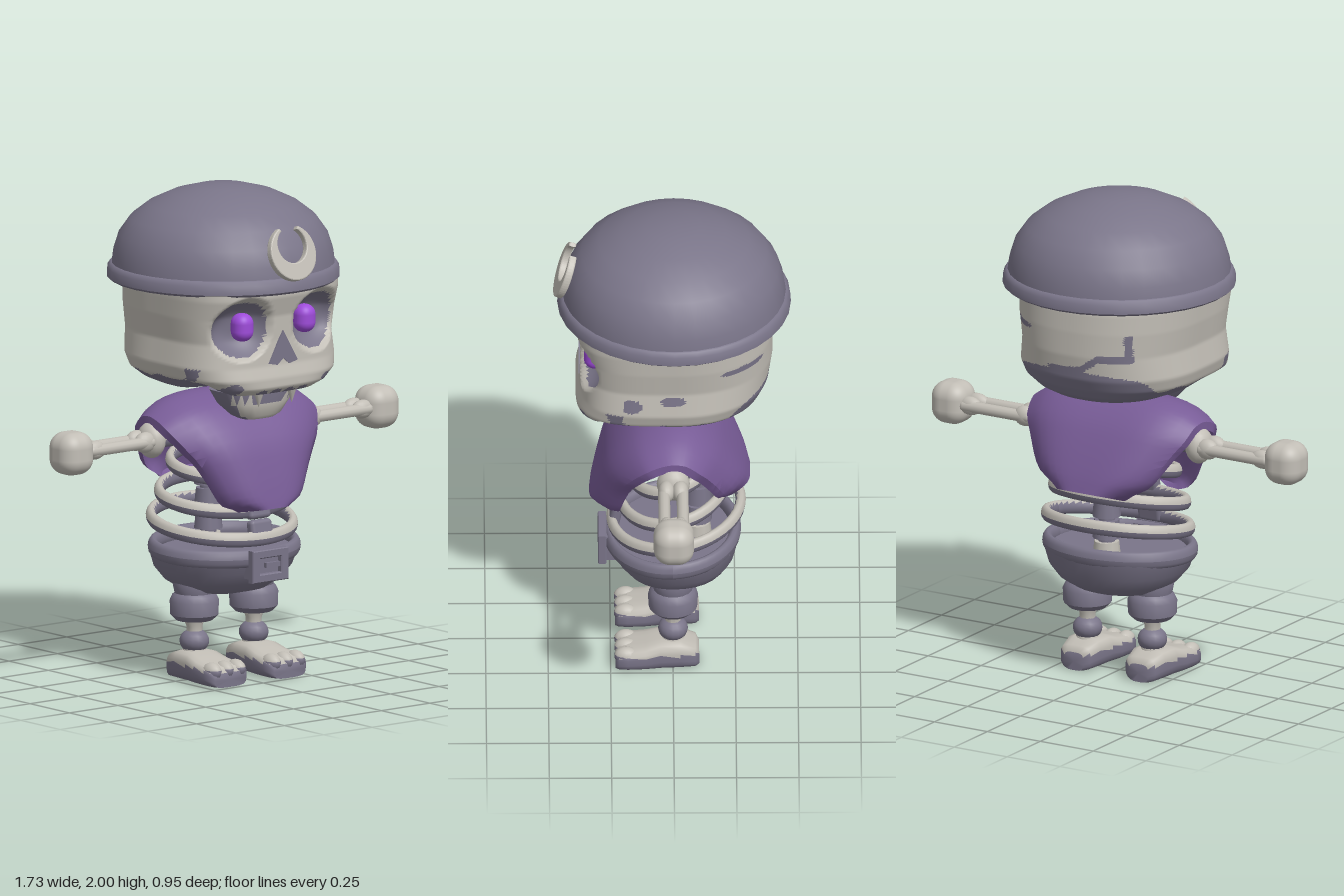
import * as THREE from 'three';
import { toCreasedNormals } from 'three/addons/utils/BufferGeometryUtils.js';
import { RoundedBoxGeometry } from 'three/addons/geometries/RoundedBoxGeometry.js';

const mat = (name, color) => Object.assign(new THREE.MeshStandardMaterial({ color }), { name });
const V2 = (x, y) => new THREE.Vector2(x, y);
const V3 = (x, y, z) => new THREE.Vector3(x, y, z);

// Closed skin over a row of equal-length rings, capped at both ends
function loft(rings, crease = 0.8) {
  const n = rings[0].length, m = rings.length, pos = [], idx = [];
  rings.forEach(r => r.forEach(p => pos.push(p.x, p.y, p.z)));
  for (const r of [rings[0], rings[m - 1]]) {
    const c = r.reduce((s, p) => s.add(p), V3(0, 0, 0)).divideScalar(n);
    pos.push(c.x, c.y, c.z);
  }
  for (let j = 0; j < n; j++) {
    const k = (j + 1) % n;
    for (let i = 0; i < m - 1; i++) {
      const a = i * n + j, b = i * n + k;
      idx.push(a, b, b + n, a, b + n, a + n);
    }
    idx.push(m * n, k, j, m * n + 1, (m - 1) * n + j, (m - 1) * n + k);
  }
  const g = new THREE.BufferGeometry();
  g.setAttribute('position', new THREE.Float32BufferAttribute(pos, 3));
  g.setIndex(idx);
  g.computeVertexNormals();
  return crease ? toCreasedNormals(g, crease) : g;
}

// Sorts triangles into two material groups: rule(centre, normal) true = second material
function paint(geo, rule) {
  const p = geo.attributes.position, nn = geo.attributes.normal, sets = [[], []];
  const count = geo.index ? geo.index.count : p.count;
  const c = V3(), n = V3(), t = V3();
  for (let i = 0; i < count; i += 3) {
    const tri = [0, 1, 2].map(k => geo.index ? geo.index.getX(i + k) : i + k);
    c.set(0, 0, 0); n.set(0, 0, 0);
    tri.forEach(k => { c.add(t.fromBufferAttribute(p, k)); n.add(t.fromBufferAttribute(nn, k)); });
    sets[rule(c.divideScalar(3), n.normalize()) ? 1 : 0].push(...tri);
  }
  geo.setIndex(sets[0].concat(sets[1]));
  geo.clearGroups();
  geo.addGroup(0, sets[0].length, 0);
  geo.addGroup(sets[0].length, sets[1].length, 1);
  return geo;
}

// Linear lookup in rows [key, a, b, c]
function lookup(rows, y) {
  let i = 0;
  while (i < rows.length - 2 && y > rows[i + 1][0]) i++;
  const a = rows[i], b = rows[i + 1], t = THREE.MathUtils.clamp((y - a[0]) / (b[0] - a[0]), 0, 1);
  return a.map((v, k) => v + (b[k] - v) * t);
}

// Horizontal ring: half width, front z, back z, squareness
function ring(y, hw, zf, zb, count, nf = 2, nb = 2) {
  return Array.from({ length: count }, (_, j) => {
    const a = j / count * Math.PI * 2, s = Math.sin(a), c = Math.cos(a), e = c > 0 ? nf : nb;
    const r = 1 / Math.pow(Math.abs(s) ** e + Math.abs(c) ** e, 1 / e);
    return V3(hw * s * r, y, (c > 0 ? zf : -zb) * c * r);
  });
}

// Oval band around the body, lower at the front; w and h are half thickness and half height
function hoop(y, hx, zf, zb, slope, w, h) {
  const g = new THREE.TorusGeometry(1, 0.5, 12, 48).rotateX(-Math.PI / 2), p = g.attributes.position;
  for (let i = 0; i < p.count; i++) {
    const a = Math.atan2(p.getX(i), p.getZ(i)), off = (Math.hypot(p.getX(i), p.getZ(i)) - 1) * 2 * w;
    p.setXYZ(i, (hx + off) * Math.sin(a), y - slope * Math.cos(a) + p.getY(i) * 2 * h,
      (zf + zb) / 2 + ((zf - zb) / 2 + off) * Math.cos(a));
  }
  g.computeVertexNormals();
  return g;
}

export function createModel() {
  const root = new THREE.Group();
  const slate = mat('slate', 0x7a7589), bone = mat('bone', 0xc2beb6);
  const cloth = mat('purpleCloth', 0x785c97), glow = mat('violetEye', 0x9e4cda);
  const both = [bone, slate];
  const add = (name, geo, m, x = 0, y = 0, z = 0, parent = root) => {
    const o = new THREE.Mesh(geo, m);
    o.name = name;
    o.position.set(x, y, z);
    parent.add(o);
    return o;
  };
  const lathe = (pts, seg = 24) => toCreasedNormals(new THREE.LatheGeometry(pts.map(p => V2(...p)), seg), 0.7);
  const ball = (name, m, r, s, x, y, z, parent) =>
    add(name, new THREE.SphereGeometry(r, 16, 12), m, x, y, z, parent).scale.set(...s);

  // Helmet with rolled brim
  add('helmet', lathe([[0.36, 1.625], [0.455, 1.62], [0.468, 1.63], [0.466, 1.665], [0.455, 1.682], [0.448, 1.685],
    [0.442, 1.73], [0.42, 1.8], [0.373, 1.867], [0.302, 1.922], [0.21, 1.965], [0.11, 1.992], [0, 2]], 32), slate, 0, 0, -0.005);

  // Crescent badge
  const moon = new THREE.Shape();
  moon.absarc(0, 0, 0.109, Math.PI * 0.65, Math.PI * 2.35, false);
  moon.absarc(0, 0.03, 0.077, Math.PI * 2.3, Math.PI * 0.7, true);
  const crescent = add('crescent', new THREE.ExtrudeGeometry(moon, { depth: 0.018, bevelSize: 0.005,
    bevelThickness: 0.006, bevelSegments: 2, curveSegments: 24 }), bone, 0, 1.778, 0.422);
  crescent.rotation.x = -0.32;

  // Skull, with sunken eye sockets and dark weathering
  const prof = [[1.19, 0.12, 0.2, -0.2], [1.2, 0.24, 0.36, -0.28], [1.23, 0.31, 0.39, -0.33], [1.27, 0.365, 0.39, -0.36],
    [1.32, 0.38, 0.375, -0.385], [1.42, 0.365, 0.37, -0.4], [1.52, 0.38, 0.375, -0.4], [1.6, 0.385, 0.4, -0.395], [1.66, 0.385, 0.4, -0.38]];
  const socket = p => Math.hypot((Math.abs(p.x) - 0.185) / 0.132, (p.y - 1.48) / 0.132);
  const smooth = THREE.MathUtils.smoothstep;
  const rows = [];
  for (let i = 0; i <= 60; i++) {
    const [y, hw, zf, zb] = lookup(prof, 1.19 + 0.47 * i / 60);
    rows.push(ring(y, hw, zf, zb, 176, 3.7, 2.3).map(p => {
      const d = socket(p);
      if (p.z > 0.1 && d < 1) p.z -= 0.09 * (1 - d ** 3) * smooth(p.z, 0.26, 0.33);
      // hollow between cheekbone and back of the skull
      p.y += 0.045 * smooth(1.27 - p.y, 0, 0.06) * smooth(p.z, 0.02, 0.14) * smooth(0.31 - p.z, 0, 0.08);
      return p;
    }));
  }
  const spot = (p, z, y, rz, ry) => Math.hypot((p.z - z) / rz, (p.y - y) / ry) < 1;
  const crackRows = [[-0.25, 1.415], [-0.13, 1.415], [-0.05, 1.36], [0.1, 1.35]];
  add('skull', paint(loft(rows, 0), p => {
    const ax = Math.abs(p.x);
    if (p.z > 0.2 && socket(p) < 0.9) return p.y < 1.585 - 0.25 * Math.max(0, 0.16 - ax);
    if (p.z > 0.25 && ax < 0.2) return ax < 0.13 && p.y < 1.205 + 0.02 * Math.abs(Math.sin(ax * 45));
    if (p.z > 0.2) return p.y < 1.25 + 0.012 * Math.sin(ax * 60) || (ax > 0.345 && p.z < 0.3 && p.y < 1.32);
    if (p.y < 1.265 + 0.09 * smooth(-p.z, 0.18, 0.38) + 0.008 * Math.sin(p.z * 40)) return true;
    if (p.x > 0 && p.z > -0.36) {
      return spot(p, 0.17, 1.365, 0.045, 0.03) || spot(p, 0, 1.39, 0.05, 0.022) || spot(p, -0.28, 1.5, 0.09, 0.014);
    }
    if (p.z > -0.2) return false;
    if (p.x < -0.23 && p.x > -0.258 && p.y > 1.4 && p.y < 1.52) return true;
    return p.x > -0.255 && p.x < 0.1 && Math.abs(p.y - lookup(crackRows, p.x)[1]) < 0.016;
  }), both);

  // Eyes and nose hole
  for (const s of [-1, 1]) {
    add(s > 0 ? 'leftEye' : 'rightEye', new RoundedBoxGeometry(0.088, 0.115, 0.09, 5, 0.042), glow, s * 0.16, 1.48, 0.312);
  }
  const nose = new THREE.Shape([V2(-0.074, 1.33), V2(-0.03, 1.32), V2(0, 1.345), V2(0.03, 1.32), V2(0.074, 1.33), V2(0, 1.458)]);
  add('noseHole', new THREE.ExtrudeGeometry(nose, { depth: 0.008, bevelEnabled: false }), slate, 0, 0, 0.37);

  // Lower jaw, fangs and neck
  const jaw = [[1.085, 0.075, 0.27, 0.17], [1.1, 0.105, 0.285, 0.15], [1.15, 0.155, 0.295, 0.11], [1.205, 0.18, 0.3, 0.08]];
  add('jaw', paint(loft(jaw.map(([y, w, f, b]) => ring(y, w, (f - b) / 2, -(f - b) / 2, 28, 3, 3)
    .map(p => p.setZ(p.z + (f + b) / 2)))), p => p.z < 0.255 || p.y > 1.165 - 0.02 * Math.sin(Math.abs(p.x) * 40)), both, -0.015);
  for (const x of [-0.085, 0.085]) {
    add('fang', new THREE.ConeGeometry(0.024, 0.07, 8).rotateX(Math.PI), bone, x, 1.18, 0.325);
  }
  add('neck', new THREE.CylinderGeometry(0.05, 0.05, 0.14, 14), bone, 0, 1.14, -0.03);

  // Shawl: arch from chest to back; curve points hold half width, height and depth
  const arch = new THREE.CatmullRomCurve3([V3(0.11, 0.725, 0.335), V3(0.19, 0.765, 0.328), V3(0.25, 0.87, 0.303), V3(0.325, 1, 0.258),
    V3(0.385, 1.115, 0.165), V3(0.39, 1.16, 0.085), V3(0.39, 1.178, 0), V3(0.385, 1.16, -0.085), V3(0.37, 1.09, -0.17),
    V3(0.32, 1, -0.23), V3(0.25, 0.89, -0.285), V3(0.15, 0.82, -0.31)]);
  const strips = [];
  for (let i = 0; i <= 36; i++) {
    const p = arch.getPoint(i / 36), t = arch.getTangent(i / 36).setX(0).normalize();
    const out = [], inner = [];
    for (let j = 0; j <= 16; j++) {
      const v = j / 8 - 1, drop = 0.08 * Math.abs(v) ** 4;
      const at = d => V3(p.x * v, p.y + t.z * d, p.z - t.y * d);
      out.push(at(drop));
      inner.unshift(at(drop + 0.035));
    }
    strips.push(out.concat(inner));
  }
  add('shawl', loft(strips), cloth);

  // Ribs sloping down to the front
  for (const [y, hx, zf, zb] of [[0.975, 0.19, 0.13, -0.15], [0.87, 0.245, 0.175, -0.165], [0.742, 0.285, 0.21, -0.215], [0.632, 0.3, 0.245, -0.272]]) {
    add('rib', paint(hoop(y, hx, zf, zb, 0.042, 0.021, 0.03),
      (p, n) => n.y < -0.15 || (n.x * p.x + n.z * p.z < 0 && n.y < 0.6)), both);
  }

  // Spine and breastbone
  for (let i = 0; i < 7; i++) {
    add('vertebra', new THREE.CylinderGeometry(0.05, 0.058, 0.075, 12), i ? slate : bone, 0, 0.53 + i * 0.09, -0.1);
  }
  add('spineCore', new THREE.CylinderGeometry(0.035, 0.035, 0.6, 10), slate, 0, 0.8, -0.1);
  for (let i = 0; i < 3; i++) {
    add('breastbone', new RoundedBoxGeometry(0.11, 0.1, 0.045, 2, 0.018), slate, 0, 0.615 + i * 0.1, 0.23 - i * 0.02).rotation.x = -0.2;
  }

  // Trousers, belt and buckle
  const hips = [[0.345, 0.12, 0.09, -0.1], [0.36, 0.18, 0.15, -0.16], [0.4, 0.245, 0.2, -0.22], [0.45, 0.288, 0.235, -0.25], [0.52, 0.31, 0.265, -0.265]];
  add('trousers', loft(hips.map(([y, w, f, b]) => ring(y, w, f, b, 32, 2.2, 2.2))), slate);
  add('belt', hoop(0.527, 0.304, 0.255, -0.252, 0.012, 0.022, 0.036), slate);
  const frame = new THREE.Shape([V2(-0.088, -0.062), V2(0.088, -0.062), V2(0.088, 0.062), V2(-0.088, 0.062)]);
  frame.holes.push(new THREE.Path([V2(-0.058, -0.036), V2(-0.058, 0.036), V2(0.058, 0.036), V2(0.058, -0.036)]));
  add('buckleFrame', new THREE.ExtrudeGeometry(frame, { depth: 0.026, bevelSize: 0.004, bevelThickness: 0.004, bevelSegments: 1 }), slate, 0, 0.487, 0.27);
  add('buckleBack', new THREE.BoxGeometry(0.16, 0.11, 0.05), slate, 0, 0.487, 0.252);
  add('bucklePin', new THREE.BoxGeometry(0.075, 0.02, 0.02), slate, 0.02, 0.487, 0.282);

  for (const s of [-1, 1]) {
    const side = s > 0 ? 'left' : 'right';

    // Arm: humerus, elbow, paired forearm bones, fist
    const arm = new THREE.Group();
    arm.name = side + 'Arm';
    root.add(arm);
    add('upperArm', paint(new THREE.CylinderGeometry(0.038, 0.038, 0.22, 12).rotateZ(Math.PI / 2), p => p.y < 0), both, s * 0.26, 1, 0, arm);
    ball('shoulder', bone, 0.06, [1, 1, 1], s * 0.17, 1.01, 0, arm);
    ball('elbow', bone, 0.07, [0.75, 1.05, 0.95], s * 0.375, 1, 0, arm);
    for (const z of [-0.037, 0.037]) {
      add('forearm', new THREE.CapsuleGeometry(0.024, 0.3, 4, 12).rotateZ(Math.PI / 2), bone, s * 0.56, 1, z, arm);
      ball('forearmEnd', bone, 0.042, [1.2, 1, 0.8], s * 0.43, 1, z * 0.75, arm);
      ball('forearmEnd', bone, 0.038, [1.4, 1, 0.8], s * 0.69, 1, z * 0.75, arm);
    }
    add('fist', new RoundedBoxGeometry(0.16, 0.174, 0.162, 6, 0.064), bone, s * 0.787, 0.997, 0, arm);

    // Leg: cuffed trouser leg, shin, ankle, foot
    const leg = new THREE.Group();
    leg.name = side + 'Leg';
    leg.position.x = s * 0.153;
    root.add(leg);
    add('trouserLeg', lathe([[0, 0.24], [0.075, 0.242], [0.098, 0.265], [0.1, 0.32], [0.09, 0.342], [0.08, 0.352], [0.088, 0.39], [0.078, 0.43], [0, 0.44]], 18), slate, 0, 0, 0, leg);
    add('shin', lathe([[0, 0.08], [0.05, 0.1], [0.045, 0.13], [0.032, 0.16], [0.032, 0.215], [0.043, 0.245], [0, 0.25]], 14), bone, 0, 0, 0, leg);
    ball('ankle', slate, 0.06, [1, 0.83, 1], 0, 0.155, 0, leg);
    const footRows = [[-0.105, 0.075, 0.045], [-0.09, 0.1, 0.07], [-0.03, 0.12, 0.082], [0.05, 0.12, 0.088], [0.11, 0.1, 0.096],
      [0.18, 0.09, 0.1], [0.215, 0.08, 0.095], [0.23, 0.06, 0.08]];
    const foot = loft(footRows.map(([z, h, w]) => Array.from({ length: 24 }, (_, j) => {
      const a = j / 24 * Math.PI * 2, c = Math.cos(a), q = Math.sin(a);
      const r = Math.pow(c ** 4 + q ** 4, -0.25);
      return V3(w * c * r, h / 2 + h / 2 * q * r, z);
    })), 1);
    add('foot', paint(foot, (p, n) => p.y < 0.068 && n.y < 0.5), both, 0, 0, 0, leg);
    for (const x of [-0.062, 0, 0.062]) {
      const toe = new THREE.SphereGeometry(0.04, 14, 12).scale(0.86, 0.95, 1.2);
      add('toe', paint(toe, p => p.y < 0.008), both, x, 0.062, 0.188, leg);
    }
  }
  return root;
}
